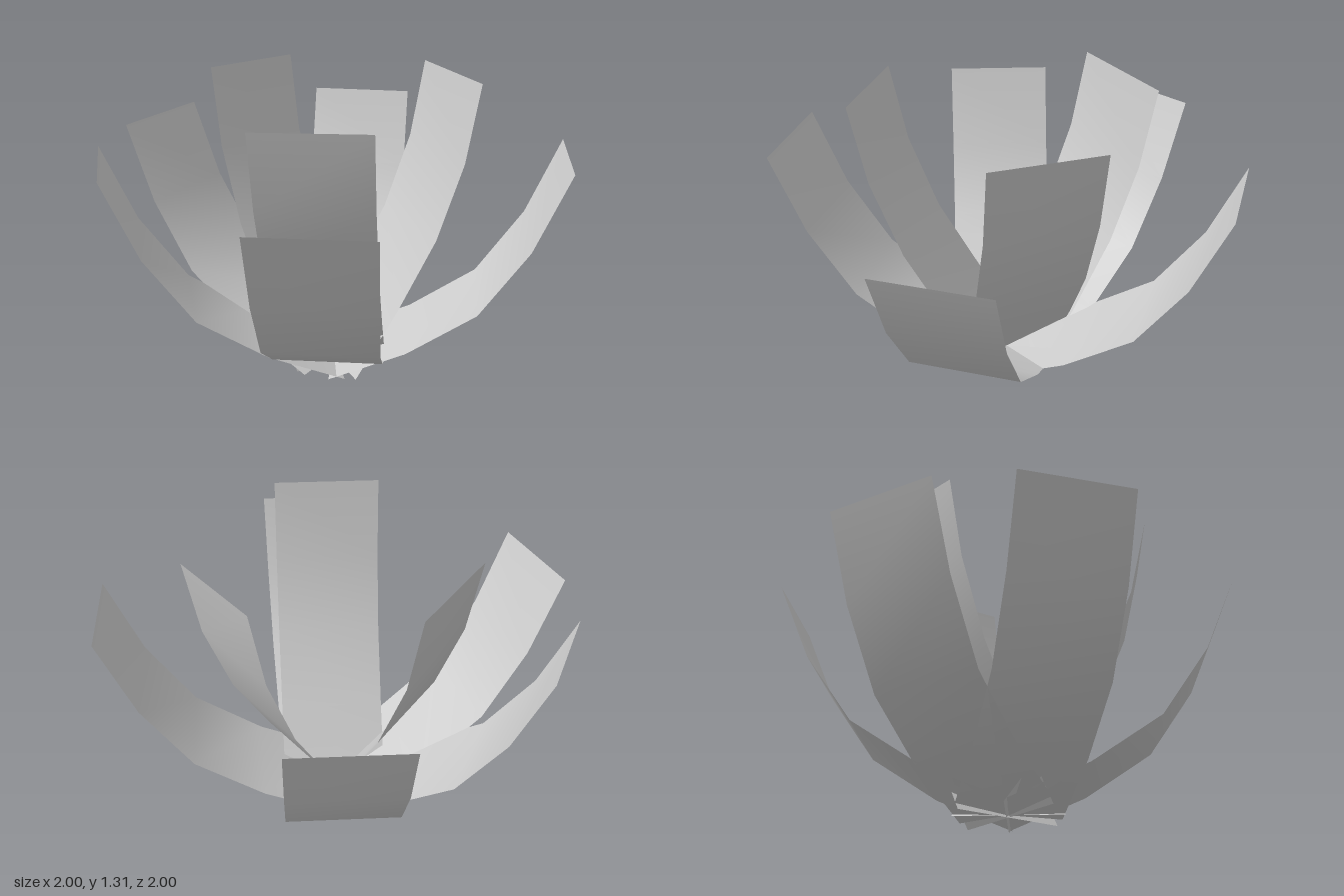
import * as THREE from 'three';

const WIDTH = 0.48;

// Side profiles of the petals: [distance from the axis, height]
const OUTER = [[0, 0], [0.341, 0.15], [0.644, 0.355], [0.852, 0.66], [0.998, 1.01]];
const INNER = [[-0.007, 0], [0.209, 0.293], [0.405, 0.596], [0.545, 0.932], [0.623, 1.28]];

// heading in degrees (0 = front, 90 = model's left), pitch and roll in degrees
const OUTER_PETALS = [[-90], [-155], [117.2], [28.6], [-45]].map(([h]) => [h, 0, 0, 0.02]);
const INNER_PETALS = [
  [-102, -1.6, 2.1, 0.0125],
  [149.1, -1.8, 0.3, 0.008],
  [27.1, 0, 0.9, 0.008],
];

const material = new THREE.MeshStandardMaterial({ color: 0xcccccc, side: THREE.DoubleSide });

// A flat strip bent along its profile, with smooth normals
function petalGeometry(profile) {
  const geometry = new THREE.PlaneGeometry(WIDTH, 1, 1, profile.length - 1);
  const pos = geometry.attributes.position;
  for (let i = 0; i < pos.count; i++) {
    const row = profile.length - 1 - Math.floor(i / 2);
    pos.setY(i, profile[row][1]);
    pos.setZ(i, profile[row][0]);
  }
  geometry.computeVertexNormals();
  return geometry;
}

function petalRing(name, profile, placements) {
  const ring = new THREE.Group();
  ring.name = name + 's';
  const geometry = petalGeometry(profile);
  placements.forEach(([heading, pitch, roll, y], i) => {
    const petal = new THREE.Mesh(geometry, material);
    petal.name = name + (i + 1);
    petal.position.y = y;
    petal.rotation.set(...[pitch, heading, roll].map(THREE.MathUtils.degToRad), 'YXZ');
    ring.add(petal);
  });
  return ring;
}

export function createModel() {
  const flower = new THREE.Group();
  flower.name = 'flower';
  // Five wide-open petals around three steeper ones
  flower.add(petalRing('outerPetal', OUTER, OUTER_PETALS));
  flower.add(petalRing('innerPetal', INNER, INNER_PETALS));
  return flower;
}
